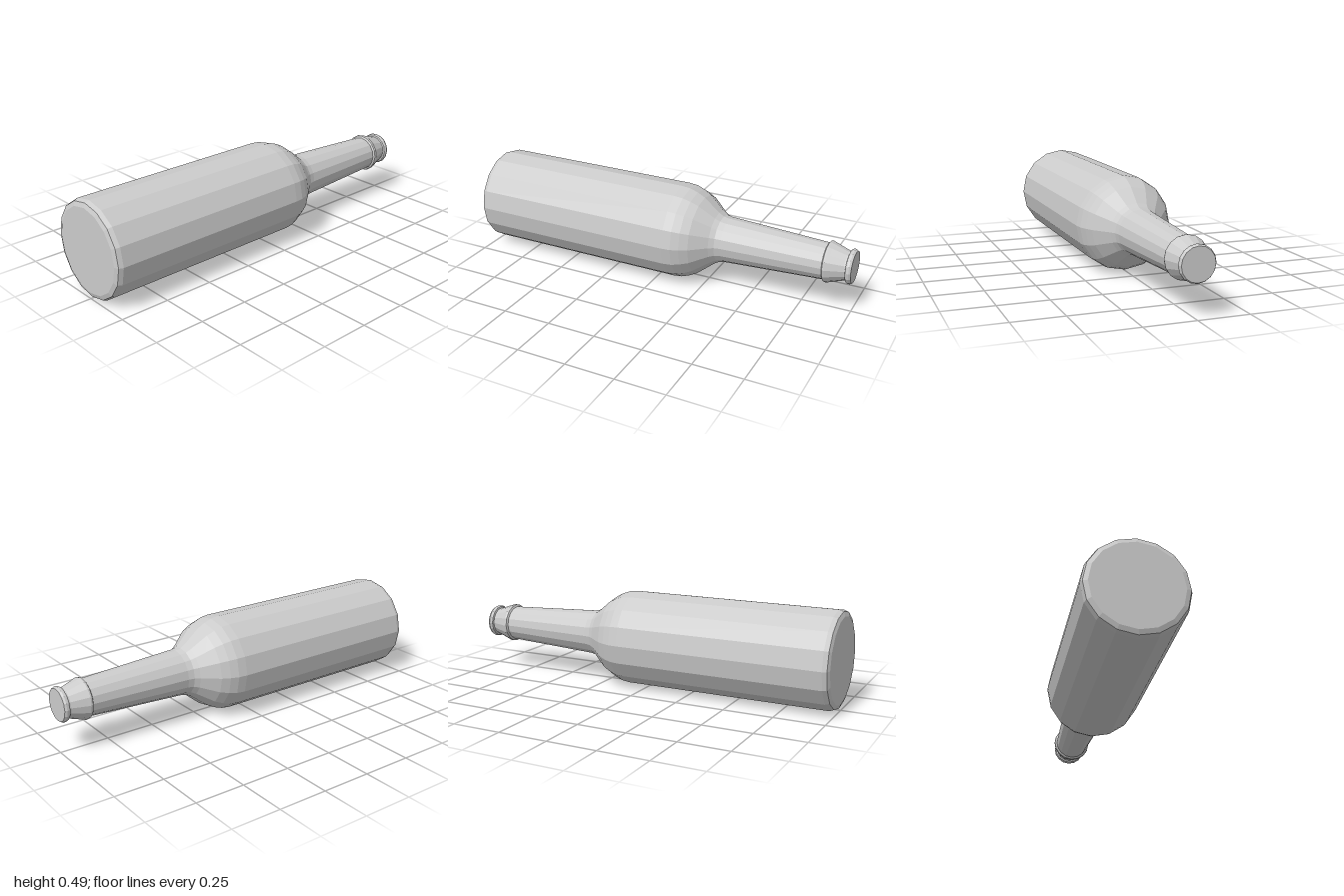
import * as THREE from 'three';

const SIDES = 16;
const AXIS_HEIGHT = 0.244;

// Profiles are [radius, distance along the axis], from base to mouth
function turned(name, profile, material) {
  const points = profile.map(([r, a]) => new THREE.Vector2(r, a));
  const geometry = new THREE.LatheGeometry(points, SIDES);
  geometry.rotateX(-Math.PI / 2); // lay down: base to +z, mouth to -z
  const mesh = new THREE.Mesh(geometry, material);
  mesh.name = name;
  mesh.position.y = AXIS_HEIGHT;
  return mesh;
}

export function createModel() {
  const glass = new THREE.MeshStandardMaterial({ color: 0xcccccc, flatShading: true });
  const bottle = new THREE.Group();
  bottle.name = 'bottle';

  // Flat base with a rounded edge and straight wall
  bottle.add(turned('body', [
    [0, -1], [0.213, -1], [0.235, -0.992], [0.243, -0.97], [0.243, 0.09],
  ], glass));

  // Curved shoulder narrowing into the neck
  bottle.add(turned('shoulder', [
    [0.243, 0.09], [0.238, 0.135], [0.224, 0.175], [0.203, 0.215],
    [0.17, 0.255], [0.137, 0.295], [0.122, 0.32], [0.116, 0.35],
  ], glass));

  // Long tapered neck
  bottle.add(turned('neck', [[0.116, 0.35], [0.091, 0.86]], glass));

  // Raised collar tapering to the groove below the lip
  bottle.add(turned('collar', [
    [0.091, 0.86], [0.101, 0.866], [0.103, 0.876], [0.098, 0.89], [0.073, 0.963], [0.073, 0.97],
  ], glass));

  // Rounded lip with closed mouth
  bottle.add(turned('lip', [
    [0.073, 0.97], [0.082, 0.973], [0.086, 0.98], [0.086, 0.99], [0.08, 1], [0, 1],
  ], glass));

  return bottle;
}
